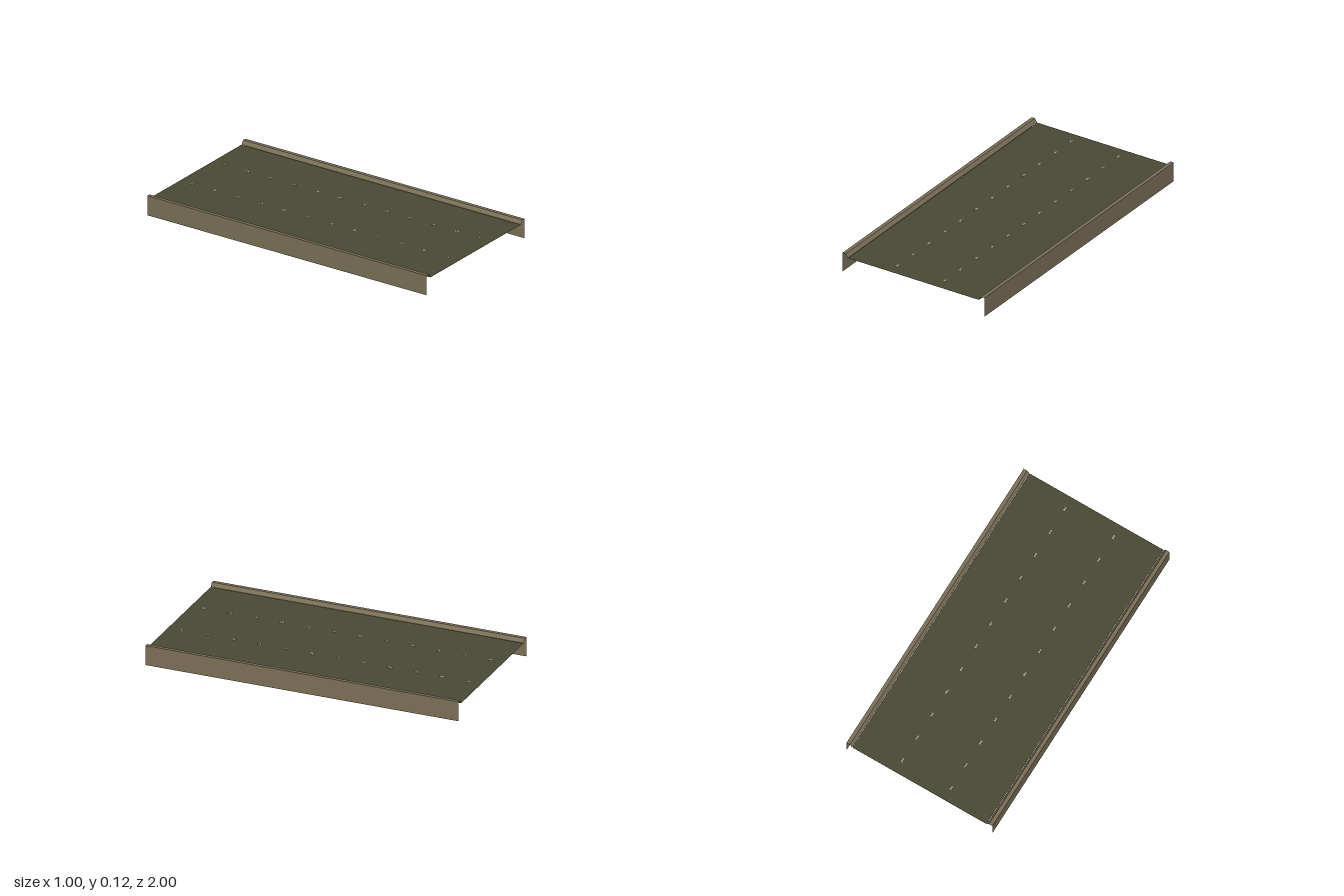
import * as THREE from 'three';

export function createModel() {
  const group = new THREE.Group();
  const material = (name, color, options = {}) => {
    const m = new THREE.MeshStandardMaterial({ color, ...options });
    m.name = name;
    return m;
  };
  const railMat = material('tanRail', 0x7b7058, { side: THREE.DoubleSide, flatShading: true });
  const deckMat = material('oliveDeck', 0x4b4a35, { side: THREE.DoubleSide, flatShading: true });
  const boltMat = material('paleMetal', 0xa39a80, { flatShading: true });

  const LENGTH = 2;

  const add = (name, geometry, mat) => {
    const mesh = new THREE.Mesh(geometry, mat);
    mesh.name = name;
    group.add(mesh);
    return mesh;
  };

  // Open sheet swept along z from a folded (x, y) profile
  const foldedSheet = (points) => {
    const pos = [];
    for (let i = 0; i < points.length - 1; i++) {
      const [ax, ay] = points[i], [bx, by] = points[i + 1], h = LENGTH / 2;
      pos.push(ax, ay, -h, ax, ay, h, bx, by, h, ax, ay, -h, bx, by, h, bx, by, -h);
    }
    const g = new THREE.BufferGeometry();
    g.setAttribute('position', new THREE.Float32BufferAttribute(pos, 3));
    g.computeVertexNormals();
    return g;
  };

  // Thin deck sheet
  add('deck', foldedSheet([[-0.46, 0.101], [0.46, 0.101]]), deckMat);

  const boltGeo = new THREE.IcosahedronGeometry(0.016, 0);
  const rivetGeo = new THREE.IcosahedronGeometry(1, 0).scale(0.008, 0.003, 0.018);

  for (const side of [-1, 1]) {
    const label = side > 0 ? 'left' : 'right';

    // Side rail: upright wall, top lip and inner fold down to the deck
    const profile = [[0.5, 0], [0.5, 0.125], [0.477, 0.125], [0.462, 0.101]];
    add(label + 'Rail', foldedSheet(profile.map(([x, y]) => [side * x, y])), railMat);

    // Bolts on the inner face of the wall
    for (let i = 0; i < 4; i++) {
      const bolt = add(label + 'Bolt', boltGeo, boltMat);
      bolt.position.set(side * 0.484, 0.06, -0.75 + i * 0.5);
      bolt.rotation.set(i * 0.9, 0, i * 0.5);
    }

    // Row of flat rivets along the deck
    for (let i = 0; i < 12; i++) {
      const rivet = add(label + 'Rivet', rivetGeo, boltMat);
      rivet.position.set(side * 0.167, 0.102, (i - 5.5) / 6);
    }
  }
  return group;
}
